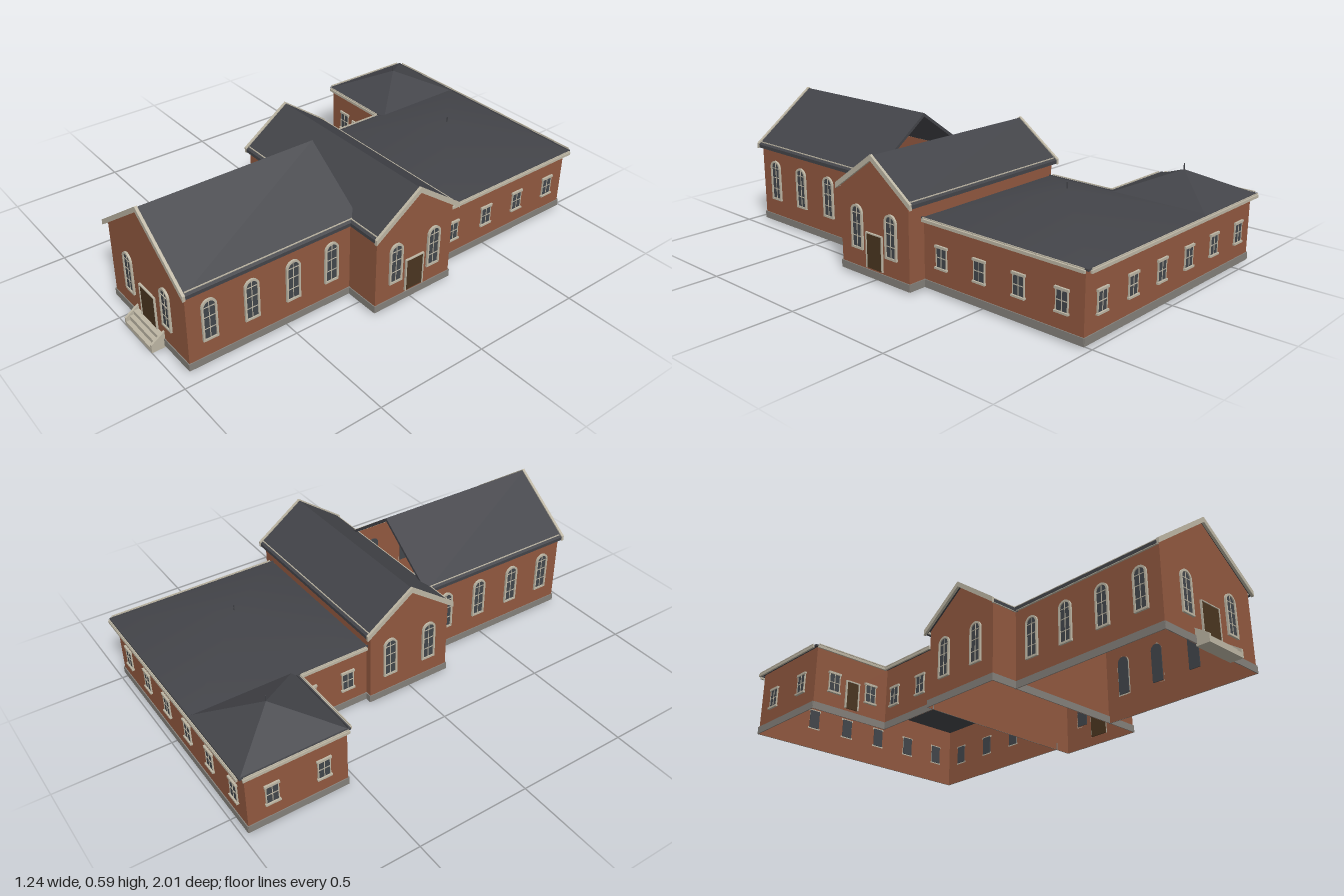
import * as THREE from 'three';
import { mergeVertices } from 'three/addons/utils/BufferGeometryUtils.js';

const mat = (name, color, side = THREE.FrontSide) => {
  const m = new THREE.MeshStandardMaterial({ color, side });
  m.name = name;
  return m;
};

export function createModel() {
  const brick = mat('brick', 0x91583f, THREE.DoubleSide);
  const slate = mat('slate', 0x434449, THREE.DoubleSide);
  const stone = mat('plinthStone', 0x84807a);
  const cream = mat('creamTrim', 0xbdb6a4);
  const glass = mat('glass', 0x42464b);
  const wood = mat('doorWood', 0x4a3520);

  const root = new THREE.Group();
  root.name = 'church';

  const add = (parent, name, geo, material, x = 0, y = 0, z = 0) => {
    const m = new THREE.Mesh(geo, material);
    m.name = name;
    m.position.set(x, y, z);
    parent.add(m);
    return m;
  };
  const box = (parent, name, material, w, h, d, x, y, z) =>
    add(parent, name, new THREE.BoxGeometry(w, h, d), material, x, y, z);
  const extrude = (shape, depth) =>
    new THREE.ExtrudeGeometry(shape, { depth, bevelEnabled: false, curveSegments: 10 });
  const polygon = (pts) => new THREE.Shape(pts.map(([x, y]) => new THREE.Vector2(x, y)));

  // Outline of a round-headed opening, centred on x = 0
  const arch = (w, y0, y1) => {
    const r = w / 2, s = new THREE.Shape();
    s.moveTo(-r, y0);
    s.lineTo(r, y0);
    s.lineTo(r, y1 - r);
    s.absarc(0, y1 - r, r, 0, Math.PI, false);
    s.lineTo(-r, y0);
    return s;
  };

  // Openings, drawn in the wall's own frame with z outward
  const openings = {
    archWindow(g) {
      add(g, 'archGlass', extrude(arch(0.054, 0.122, 0.296), 0.008), glass, 0, 0, -0.004);
      const ring = arch(0.066, 0.116, 0.302);
      ring.holes.push(arch(0.05, 0.125, 0.293));
      add(g, 'archFrame', extrude(ring, 0.009), cream);
      box(g, 'mullion', cream, 0.003, 0.17, 0.004, 0, 0.208, 0.004);
      for (const y of [0.17, 0.222, 0.266]) box(g, 'glazingBar', cream, 0.05, 0.003, 0.004, 0, y, 0.004);
    },
    smallWindow(g) {
      box(g, 'windowGlass', glass, 0.05, 0.085, 0.008, 0, 0.152, 0);
      box(g, 'windowSill', cream, 0.064, 0.008, 0.012, 0, 0.108, 0.005);
      box(g, 'windowLintel', cream, 0.064, 0.01, 0.01, 0, 0.195, 0.004);
      for (const s of [-1, 1]) box(g, 'windowJamb', cream, 0.004, 0.085, 0.006, s * 0.026, 0.152, 0.003);
      box(g, 'glazingBar', cream, 0.05, 0.003, 0.004, 0, 0.152, 0.004);
      box(g, 'mullion', cream, 0.003, 0.085, 0.004, 0, 0.152, 0.004);
    },
    door(g, w, y0, y1, t) {
      const h = y1 - y0;
      box(g, 'doorPanel', wood, w, h, 0.01, 0, y0 + h / 2, 0);
      for (const s of [-1, 1]) box(g, 'doorJamb', cream, t, h, 0.009, s * (w + t) / 2, y0 + h / 2, 0.004);
      box(g, 'doorLintel', cream, w + 2 * t, t, 0.009, 0, y1 + t / 2, 0.004);
    },
  };

  // A wall from a to b (world x or z) at the given depth, with an optional gable
  const turns = { front: 0, left: Math.PI / 2, back: Math.PI, right: -Math.PI / 2 };
  const wall = (name, side, at, a, b, eave, peak, list = []) => {
    const g = new THREE.Group(), c = (a + b) / 2, h = (b - a) / 2;
    g.name = name;
    const alongX = side === 'front' || side === 'back';
    g.position.set(alongX ? c : at, 0, alongX ? at : c);
    g.rotation.y = turns[side];
    const dir = side === 'front' || side === 'right' ? 1 : -1;
    const pts = [[-h, 0.01], [h, 0.01], [h, eave]];
    if (peak) pts.push([0, peak]);
    pts.push([-h, eave]);
    add(g, 'brickwork', new THREE.ShapeGeometry(polygon(pts)), brick);
    box(g, 'plinth', stone, 2 * h + 0.006, 0.032, 0.004, 0, 0.026, 0.003);
    for (const [kind, at2, ...args] of list) {
      const o = new THREE.Group();
      o.name = kind;
      o.position.x = dir * (at2 - c);
      openings[kind](o, ...args);
      g.add(o);
    }
    root.add(g);
  };
  const arches = (...p) => p.map((v) => ['archWindow', v]);
  const smalls = (...p) => p.map((v) => ['smallWindow', v]);

  // Nave, open towards the transept
  const naveZ = [0.845, 0.66, 0.47, 0.285];
  wall('naveFront', 'front', 0.94, -0.127, 0.437, 0.363, 0.57,
    [...arches(0.015, 0.295), ['door', 0.155, 0.108, 0.05, 0.203, 0.004]]);
  wall('naveLeftWall', 'left', 0.437, 0.19, 0.94, 0.363, 0, arches(...naveZ));
  wall('naveRightWall', 'right', -0.127, 0.19, 0.94, 0.363, 0, arches(...naveZ));

  // Transept
  wall('transeptFront', 'front', 0.19, -0.255, 0.597, 0.363, 0);
  wall('transeptBack', 'back', -0.205, -0.255, 0.597, 0.363, 0);
  wall('transeptLeftGable', 'left', 0.597, -0.205, 0.19, 0.363, 0.505,
    [...arches(0.09, -0.107), ['door', -0.009, 0.085, 0.05, 0.195, 0.005]]);
  wall('transeptRightGable', 'right', -0.255, -0.205, 0.19, 0.363, 0.505, arches(0.09, -0.107));

  // Rear hall and its side wing, one open interior
  wall('hallLeftWall', 'left', 0.516, -0.975, -0.205, 0.295, 0, smalls(-0.3, -0.495, -0.685, -0.88));
  wall('hallBack', 'back', -0.975, -0.6, 0.516, 0.295, 0, smalls(0.42, 0.235, 0.05, -0.135, -0.32, -0.51));
  wall('hallRightWall', 'right', -0.226, -0.545, -0.205, 0.295, 0, smalls(-0.3, -0.48));
  wall('wingFront', 'front', -0.545, -0.6, -0.226, 0.295, 0,
    [...smalls(-0.505, -0.315), ['door', -0.41, 0.058, 0.055, 0.177, 0.006]]);
  wall('wingRightWall', 'right', -0.6, -0.975, -0.545, 0.295, 0, smalls(-0.87, -0.65));

  // Gable roofs: a folded slab along local z, rake trim at chosen ends, eave trim
  const fold = (half, top, drop, t) => polygon([[-half, top - drop], [-half, top - drop - t], [0, top - t],
    [half, top - drop - t], [half, top - drop], [0, top]]);
  const gableRoof = (name, half, top, drop, len, ends) => {
    const g = new THREE.Group();
    g.name = name;
    add(g, 'roofSlab', extrude(fold(half, top, drop, 0.015), len), slate, 0, 0, -len / 2);
    for (const e of ends)
      add(g, 'rakeTrim', extrude(fold(half + 0.002, top + 0.005, drop, 0.024), 0.012), cream,
        0, 0, e * (len / 2 - 0.005) - 0.006);
    for (const s of [-1, 1]) {
      box(g, 'eaveTrim', cream, 0.008, 0.012, len - 0.03, s * (half - 0.012), top - drop - 0.006, 0);
      box(g, 'eaveLine', cream, 0.004, 0.004, len - 0.03, s * (half - 0.012), top - drop + 0.009, 0);
    }
    root.add(g);
    return g;
  };
  gableRoof('naveRoof', 0.3, 0.584, 0.218, 0.795, [1]).position.set(0.155, 0, 0.5575);
  const transeptRoof = gableRoof('transeptRoof', 0.215, 0.52, 0.155, 0.886, [-1, 1]);
  transeptRoof.position.set(0.169, 0, -0.012);
  transeptRoof.rotation.y = Math.PI / 2;

  // Pyramid roofs with a small finial
  const pyramidRoof = (name, x0, x1, z0, z1, y0, y1, smooth) => {
    let geo = new THREE.ConeGeometry(Math.SQRT1_2, 1, 4, 1, true).rotateY(Math.PI / 4);
    geo.scale(x1 - x0, y1 - y0, z1 - z0);
    geo.deleteAttribute('uv');
    geo.deleteAttribute('normal');
    geo = smooth ? mergeVertices(geo) : geo.toNonIndexed();
    geo.computeVertexNormals();
    const x = (x0 + x1) / 2, z = (z0 + z1) / 2;
    add(root, name, geo, slate, x, (y0 + y1) / 2, z);
    box(root, name + 'Finial', slate, 0.004, 0.03, 0.004, x, y1 + 0.01, z);
  };
  pyramidRoof('hallRoof', -0.24, 0.53, -0.995, -0.21, 0.298, 0.41, true);
  pyramidRoof('wingRoof', -0.612, -0.212, -0.995, -0.545, 0.298, 0.4, false);

  // Eaves of hall and wing: dark gutter outside, cream strip inside
  const eaves = [
    [0.53, -0.21, 0.53, -0.995], [0.53, -0.995, -0.612, -0.995], [-0.612, -0.995, -0.612, -0.54],
    [-0.612, -0.54, -0.24, -0.54], [-0.24, -0.54, -0.24, -0.21],
  ];
  for (const [xa, za, xb, zb] of eaves) {
    const len = Math.hypot(xb - xa, zb - za);
    const g = new THREE.Group();
    g.name = 'hallEave';
    g.position.set((xa + xb) / 2, 0, (za + zb) / 2);
    g.rotation.y = Math.atan2(-(zb - za), xb - xa);
    box(g, 'gutter', slate, len + 0.006, 0.008, 0.006, 0, 0.297, 0);
    box(g, 'eaveTrim', cream, len - 0.012, 0.012, 0.008, 0, 0.291, 0.009);
    box(g, 'eaveLine', cream, len - 0.02, 0.004, 0.004, 0, 0.302, 0.009);
    root.add(g);
  }

  // Front steps between sloping cheek walls
  const steps = new THREE.Group();
  steps.name = 'frontSteps';
  [[0.02, 1.0], [0.04, 0.982], [0.057, 0.964]].forEach(([h, z]) =>
    box(steps, 'step', cream, 0.19, h, z - 0.94, 0.155, h / 2, (z + 0.94) / 2));
  for (const x of [0.05, 0.25]) {
    const cheek = polygon([[-0.94, 0], [-0.94, 0.076], [-1.0, 0.036], [-1.0, 0]]);
    add(steps, 'cheekWall', extrude(cheek, 0.01).rotateY(Math.PI / 2), cream, x, 0, 0);
  }
  root.add(steps);
  return root;
}
